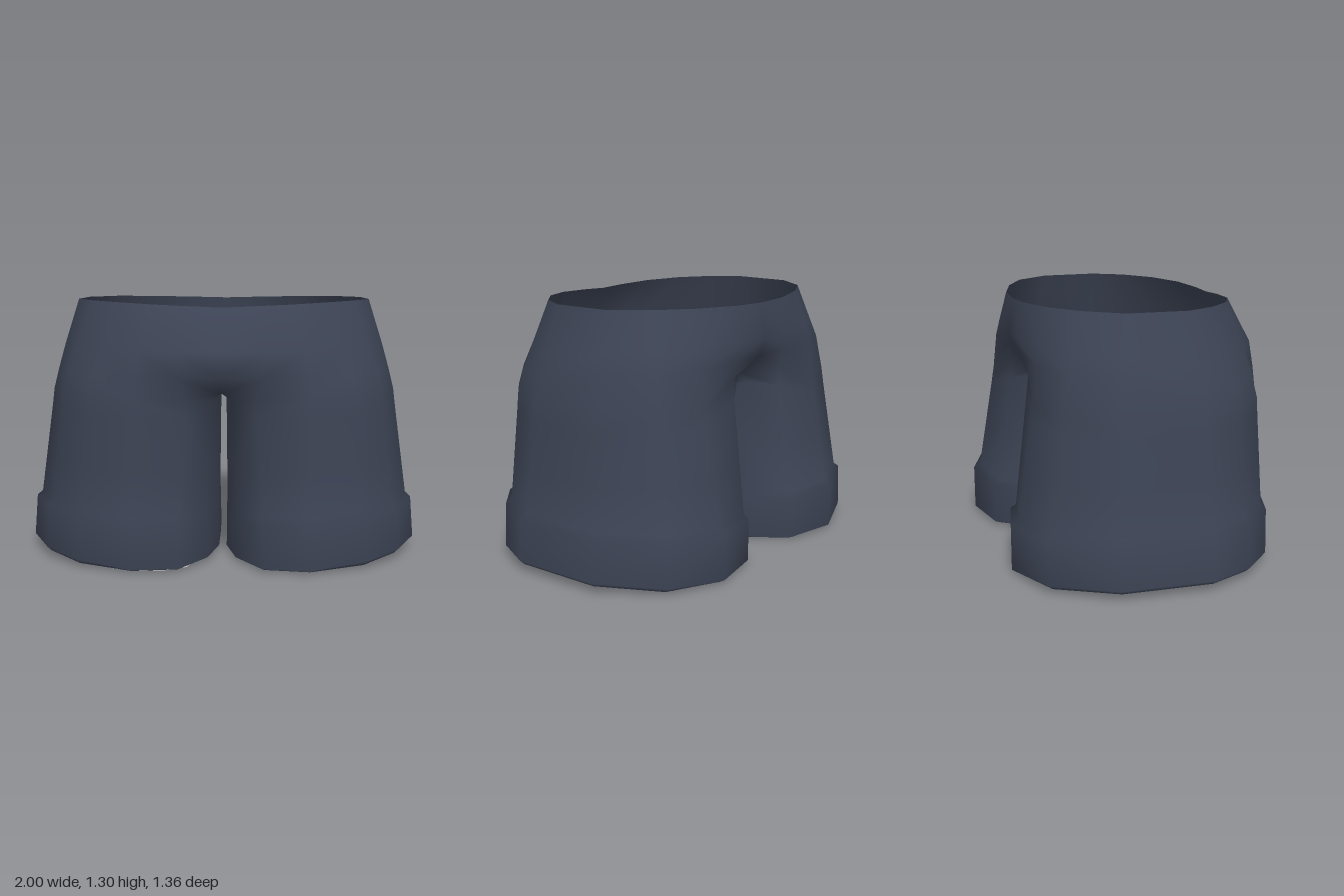
import * as THREE from 'three';
import { mergeVertices } from 'three/addons/utils/BufferGeometryUtils.js';

const fabric = new THREE.MeshStandardMaterial({ color: 0x3d4455, side: THREE.DoubleSide });
fabric.name = 'slateFabric';
const pale = new THREE.MeshStandardMaterial({ color: 0xdcdcd7, side: THREE.DoubleSide });
pale.name = 'paleGrey';

// Row of points from [x, z] pairs, with the height given by a function of (x, z)
const row = (pairs, height) => pairs.map(([x, z]) => new THREE.Vector3(x, height(x, z), z));
const blend = (a, b, t) => a.map((p, i) => p.clone().lerp(b[i], t));

// Skin between rows of one half; 11-point rows are open, 14-point rows are closed loops
function loftHalf(rows, side, out) {
  for (let r = 0; r < rows.length - 1; r++) {
    const top = rows[r], low = rows[r + 1];
    const n = top.length === 14 ? 14 : 10;
    for (let k = 0; k < n; k++) {
      const j = (k + 1) % top.length;
      const a = top[k], b = top[j], c = low[k], d = low[j];
      const tris = side > 0 ? [a, c, b, b, c, d] : [a, b, c, b, d, c];
      for (const p of tris) out.push(p.x * side, p.y, p.z);
    }
  }
}

// Smooth mesh from several row lists, built on the given sides
function skin(name, lofts, sides) {
  const pos = [];
  for (const s of sides) for (const rows of lofts) loftHalf(rows, s, pos);
  let geo = new THREE.BufferGeometry();
  geo.setAttribute('position', new THREE.Float32BufferAttribute(pos, 3));
  geo = mergeVertices(geo, 1e-4);
  geo.computeVertexNormals();
  const mesh = new THREE.Mesh(geo, fabric);
  mesh.name = name;
  return mesh;
}

// Half rows run from front centre round the outside to back centre
const waist = row([[0, .53], [.14, .53], [.34, .5], [.52, .41], [.66, .28], [.75, .12],
  [.74, -.18], [.6, -.36], [.42, -.46], [.2, -.525], [0, -.535]],
  (x, z) => 1.285 + .015 * Math.min(1, x / .6) - (z > 0 ? .012 * (1 - x / .75) : 0));
const belly = row([[0, .655], [.2, .655], [.4, .6], [.58, .48], [.73, .335], [.822, .14],
  [.81, -.21], [.66, -.41], [.46, -.51], [.2, -.56], [0, -.56]], (x, z) => z > 0 ? 1.07 : 1.11);
const hips = row([[0, .63], [.2, .635], [.42, .615], [.63, .51], [.775, .36], [.858, .15],
  [.84, -.23], [.68, -.44], [.47, -.53], [.21, -.53], [0, -.53]], (x, z) => z > 0 ? .94 : 1.02);

// Leg loops continue along the inner thigh from back to front
const crotch = row([[0, .53], [.17, .61], [.42, .628], [.65, .53], [.8, .37], [.882, .16],
  [.87, -.24], [.7, -.47], [.47, -.55], [.2, -.51], [0, -.4], [0, -.23], [0, 0], [0, .22]],
  (x, z) => {
    if (x > 0) return x === .2 ? .93 : .84;
    return z > .5 ? .86 : z < -.3 ? .92 : .822;
  });
const hem = row([[.075, .43], [.2, .61], [.43, .648], [.68, .56], [.855, .39], [.957, .17],
  [.93, -.27], [.74, -.55], [.48, -.645], [.2, -.59], [.08, -.43], [.025, -.2], [.02, 0], [.025, .22]],
  (x) => .24 + .05 * Math.min(1, x / .8));
const rim = row([[.07, .45], [.2, .645], [.43, .678], [.71, .58], [.89, .41], [1, .18],
  [.97, -.28], [.77, -.57], [.48, -.68], [.2, -.62], [.07, -.45], [.02, -.22], [.018, 0], [.02, .23]],
  (x) => .016 + .044 * Math.max(0, (x - .45) / .55));

// Upper leg: the outside follows the hip, the inside drops straight from the crotch
const thigh = blend(crotch, hem, .15).map((p, i) => {
  if (i === 10) return new THREE.Vector3(.09, .85, -.39);
  if (i === 0 || i > 10) return new THREE.Vector3(hem[i].x * .75, .805, hem[i].z);
  return p.setY(i === 9 ? .83 : .75);
});
const knee = blend(thigh, hem, .55);

// Turn-up and sole
const cuffTop = rim.map((p, i) => new THREE.Vector3(
  THREE.MathUtils.lerp(hem[i].x, p.x, .6), hem[i].y - .018, p.z));
const soleEdge = rim.map((p) => new THREE.Vector3(
  .5 + (p.x - .5) * .96, .004 + .035 * Math.max(0, (p.x - .6) / .4), p.z * .96));
const soleCentre = rim.map(() => new THREE.Vector3(.5, .005, 0));

// Thin irregular patch lying in the sole
function patch(name, outline) {
  const shape = new THREE.Shape(outline.map(([x, z]) => new THREE.Vector2(x, -z)));
  const geo = new THREE.ExtrudeGeometry(shape, { depth: .008, bevelEnabled: false });
  geo.rotateX(-Math.PI / 2);
  geo.translate(0, .001, 0);
  const mesh = new THREE.Mesh(geo, pale);
  mesh.name = name;
  return mesh;
}

export function createModel() {
  const group = new THREE.Group();
  group.name = 'shorts';

  // Seat, legs and turned-up cuffs as one smooth skin
  group.add(skin('seatLegsAndCuffs', [
    [waist, belly, hips, crotch.slice(0, 11)],
    [crotch, thigh, knee, hem, cuffTop, rim, soleEdge],
  ], [1, -1]));

  // Closed leg bottoms
  group.add(skin('leftSole', [[soleEdge, soleCentre]], [1]));
  group.add(skin('rightSole', [[soleEdge, soleCentre]], [-1]));

  // Pale patches near the front of each sole
  group.add(patch('leftSolePatch', [[.22, .45], [.28, .425], [.39, .41], [.46, .395], [.53, .39],
    [.64, .35], [.7, .37], [.68, .46], [.56, .54], [.38, .6], [.25, .58], [.22, .52]]));
  group.add(patch('rightSolePatch', [[-.32, .5], [-.26, .475], [-.18, .465], [-.14, .49],
    [-.17, .57], [-.28, .63], [-.42, .64], [-.53, .6], [-.49, .54], [-.4, .51]]));
  return group;
}
